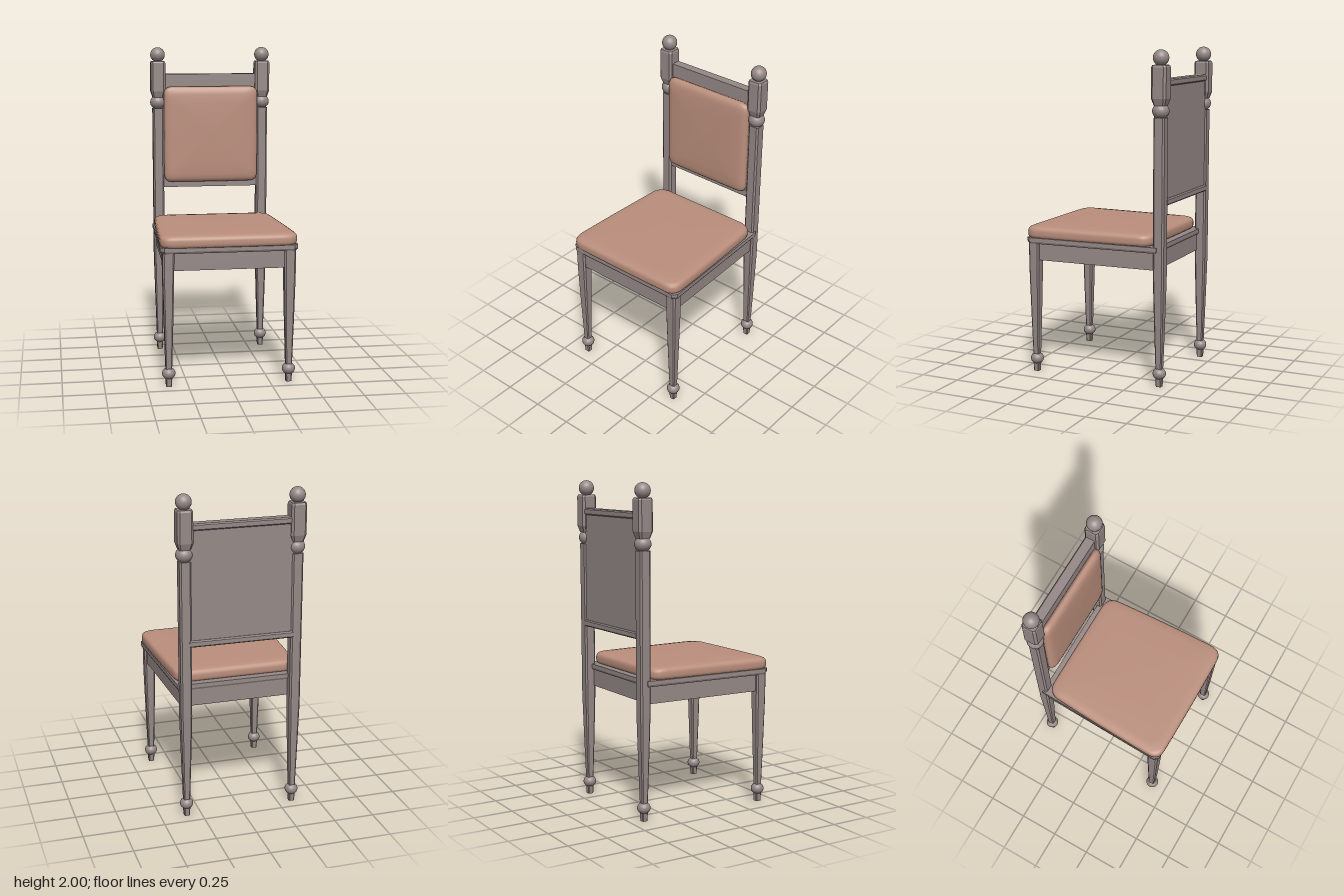
import * as THREE from 'three';

const wood = new THREE.MeshStandardMaterial({ color: 0x958987 });
wood.name = 'grey brown wood';
const fabric = new THREE.MeshStandardMaterial({ color: 0xbb8f7d });
fabric.name = 'dusty pink fabric';

// Stack scaled copies of a counter-clockwise outline along z; rings are [scale, height]
function loft(outline, rings, flat) {
  const n = outline.length, pos = [], idx = [];
  for (const [s, h] of rings) for (const p of outline) pos.push(p.x * s, p.y * s, h);
  for (let r = 0; r < rings.length - 1; r++) {
    for (let i = 0; i < n; i++) {
      const j = (i + 1) % n, a = r * n + i, b = r * n + j;
      if (rings[r][0] > 0) idx.push(a, b, b + n);
      if (rings[r + 1][0] > 0) idx.push(a, b + n, a + n);
      else if (rings[r][0] > 0) idx.splice(-3, 3, a, b, a + n);
    }
  }
  let g = new THREE.BufferGeometry();
  g.setAttribute('position', new THREE.Float32BufferAttribute(pos, 3));
  g.setIndex(idx);
  if (flat) g = g.toNonIndexed();
  g.computeVertexNormals();
  return g;
}

function add(parent, name, geometry, material, x = 0, y = 0, z = 0) {
  const mesh = new THREE.Mesh(geometry, material);
  mesh.name = name;
  mesh.position.set(x, y, z);
  parent.add(mesh);
  return mesh;
}

const upright = (outline, rings, flat) => loft(outline, rings, flat).rotateX(-Math.PI / 2);
const points = list => list.map(([x, y]) => new THREE.Vector2(x, y));

// Square with chamfered corners, half width 1
const c = 0.72;
const square = points([[1, -c], [1, c], [c, 1], [-c, 1], [-1, c], [-1, -c], [-c, -1], [c, -1]]);

// Turned post from [half width, height] levels
const post = levels => upright(square,
  [[0, levels[0][1]], ...levels, [0, levels[levels.length - 1][1]]], true);

function ball(parent, name, r, ry, y) {
  add(parent, name, new THREE.SphereGeometry(r, 32, 20).scale(1, ry / r, 1), wood, 0, y, 0);
}

// Rounded outline with different half widths at its bottom and top
function cushionOutline(w0, w1, h, r0, r1, bulge) {
  const s = new THREE.Shape();
  s.moveTo(-w0 + r0, -h);
  s.quadraticCurveTo(0, -h - bulge, w0 - r0, -h);
  s.quadraticCurveTo(w0, -h, w0, -h + r0);
  s.quadraticCurveTo((w0 + w1) / 2 + bulge, 0, w1, h - r1);
  s.quadraticCurveTo(w1, h, w1 - r1, h);
  s.lineTo(-w1 + r1, h);
  s.quadraticCurveTo(-w1, h, -w1, h - r1);
  s.quadraticCurveTo(-(w0 + w1) / 2 - bulge, 0, -w0, -h + r0);
  s.quadraticCurveTo(-w0, -h, -w0 + r0, -h);
  return s.getSpacedPoints(120).slice(0, -1);
}

// Tapered leg with ball and foot peg, standing at the origin
function leg(name, top) {
  const g = new THREE.Group();
  g.name = name;
  add(g, 'legShaft', post([[0.019, 0.1], [0.027, 0.38], [0.034, 0.66], [0.035, top]]), wood);
  ball(g, 'ankleBall', 0.04, 0.036, 0.08);
  add(g, 'footPeg', post([[0.017, 0], [0.02, 0.06]]), wood);
  return g;
}

export function createModel() {
  const chair = new THREE.Group();
  chair.name = 'chair';

  for (const [side, s] of [['left', 1], ['right', -1]]) {
    const front = leg(side + 'FrontLeg', 0.82);
    front.position.set(s * 0.366, 0, 0.405);
    chair.add(front);

    // Rear leg runs up into the back post
    const rear = leg(side + 'RearLegAndPost', 1.61);
    rear.position.set(s * 0.34, 0, -0.412);
    ball(rear, 'postBall', 0.05, 0.046, 1.648);
    add(rear, 'postBlock', post([[0.034, 1.68], [0.047, 1.72], [0.047, 1.9], [0.042, 1.912]]), wood);
    ball(rear, 'finial', 0.047, 0.047, 1.953);
    chair.add(rear);
  }

  // Seat frame
  const apron = points([[-0.385, -0.428], [0.385, -0.428], [0.36, 0.392], [-0.36, 0.392]]);
  add(chair, 'seatApron', upright(apron, [[0, 0], [1, 0], [1, 0.11], [0, 0.11]], true), wood, 0, 0.71, 0);
  const slab = points([[-0.39, -0.45], [0.39, -0.45], [0.414, -0.425], [0.382, 0.405], [-0.382, 0.405], [-0.414, -0.425]]);
  add(chair, 'seatRim', upright(slab, [[0, 0], [0.985, 0], [1, 0.012], [1, 0.036], [0, 0.036]], true), wood, 0, 0.815, 0);

  // Seat cushion
  const seat = cushionOutline(0.413, 0.382, 0.412, 0.075, 0.09, 0.006);
  add(chair, 'seatCushion', upright(seat, [[0, 0], [0.975, 0], [0.992, 0.007], [1, 0.02], [1, 0.042],
    [0.993, 0.054], [0.978, 0.063], [0.95, 0.069], [0.85, 0.073], [0.5, 0.076], [0, 0.077]]), fabric, 0, 0.849, 0.047);

  // Back panel with a rail along its top and bottom
  add(chair, 'backPanel', new THREE.BoxGeometry(0.64, 0.7, 0.05), wood, 0, 1.462, -0.413);
  for (const [name, y] of [['topRail', 1.81], ['bottomRail', 1.115]]) {
    const rail = points([[-0.031, -0.02], [0.024, -0.02], [0.031, -0.013], [0.031, 0.013], [0.024, 0.02], [-0.031, 0.02]]);
    const g = loft(rail, [[0, -0.32], [1, -0.32], [1, 0.32], [0, 0.32]], true).rotateY(-Math.PI / 2);
    add(chair, name, g.rotateY(Math.PI).rotateY(Math.PI).rotateX(0), wood, 0, y, -0.418).rotation.y = Math.PI;
  }

  // Back cushion
  const back = cushionOutline(0.305, 0.305, 0.309, 0.05, 0.05, 0.002);
  add(chair, 'backCushion', loft(back, [[0, 0], [1, 0], [1, 0.018], [0.99, 0.029], [0.965, 0.038],
    [0.92, 0.045], [0.84, 0.05], [0.65, 0.053], [0.35, 0.055], [0, 0.056]]), fabric, 0, 1.44, -0.389);

  return chair;
}
